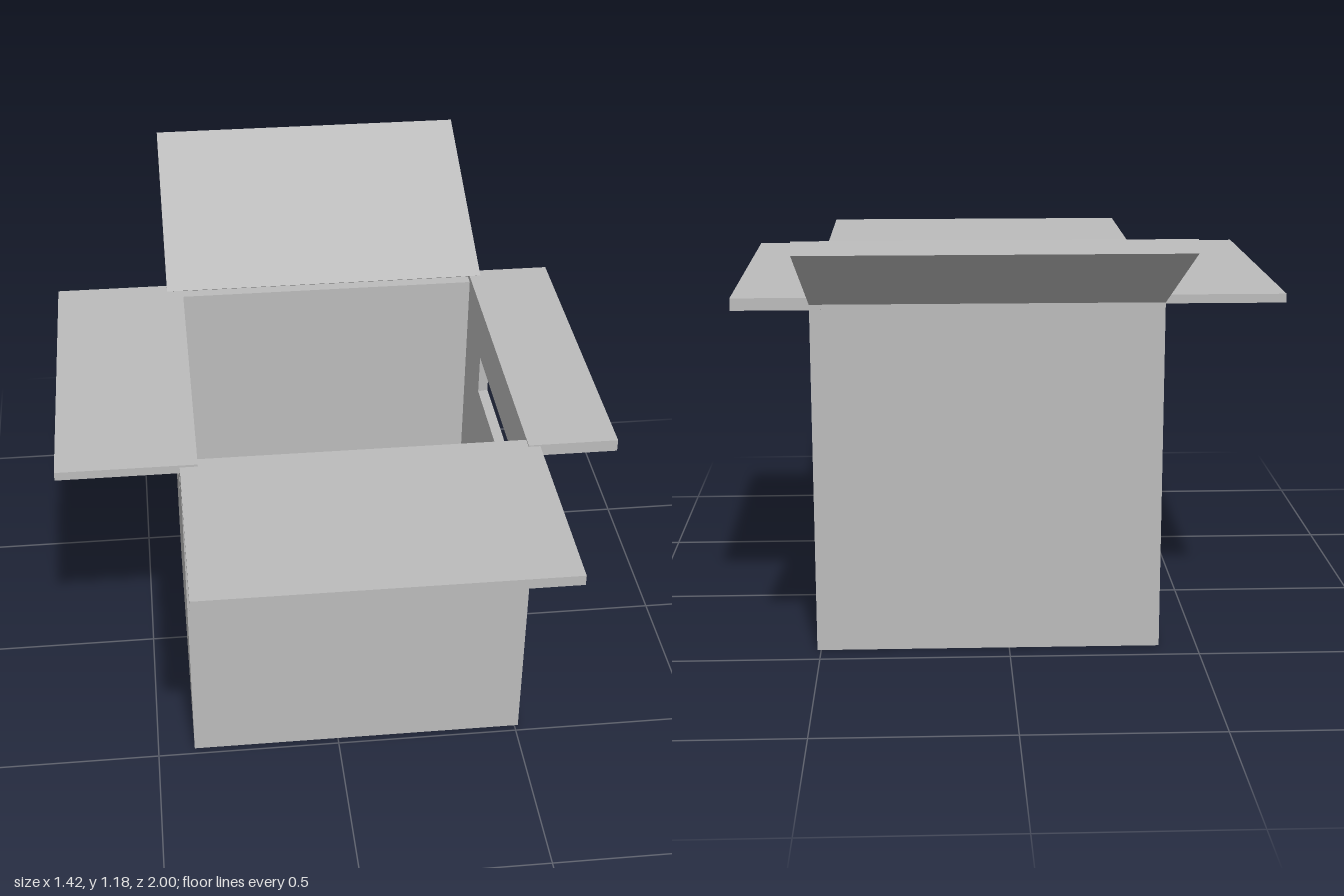
import * as THREE from 'three';

export function createModel() {
  const group = new THREE.Group();
  group.name = 'openBox';
  const cardboard = new THREE.MeshStandardMaterial({ color: 0xbcbcbc });
  cardboard.name = 'grey cardboard';

  const add = (name, geometry) => {
    const mesh = new THREE.Mesh(geometry, cardboard);
    mesh.name = name;
    group.add(mesh);
    return mesh;
  };

  // Axis-aligned panel given by its limits
  const panel = (name, x0, x1, y0, y1, z0, z1) =>
    add(name, new THREE.BoxGeometry(x1 - x0, y1 - y0, z1 - z0)
      .translate((x0 + x1) / 2, (y0 + y1) / 2, (z0 + z1) / 2));

  // Rectangle path; u runs towards the back (u = -z), v is height
  const rect = (path, u0, u1, v0, v1) => {
    path.moveTo(u0, v0);
    path.lineTo(u1, v0);
    path.lineTo(u1, v1);
    path.lineTo(u0, v1);
    path.closePath();
    return path;
  };

  // Side wall with a hand hole; taper narrows the hole towards the inside
  const sideWall = (name, x0, x1, hole, taper) => {
    const shape = rect(new THREE.Shape(), -0.44, 0.4, 0, 0.925);
    shape.holes.push(rect(new THREE.Path(), ...hole));
    const geometry = new THREE.ExtrudeGeometry(shape, { depth: x1 - x0, bevelEnabled: false });
    const p = geometry.attributes.position;
    for (let i = 0; i < p.count; i++) {
      const inHole = Math.abs(p.getX(i)) < 0.3;
      if (inHole && p.getZ(i) < 0.001) {
        p.setX(i, p.getX(i) - Math.sign(p.getX(i)) * taper);
        if (p.getY(i) < 0.75) p.setY(i, p.getY(i) + taper * 0.4);
      }
    }
    geometry.computeVertexNormals();
    add(name, geometry.rotateY(Math.PI / 2).translate(x0, 0, 0));
  };

  // Box body
  panel('floor', -0.355, 0.48, 0, 0.04, -0.4, 0.44);
  panel('frontWall', -0.4, 0.51, 0, 0.925, 0.44, 0.48);
  panel('backWall', -0.4, 0.51, 0, 0.935, -0.435, -0.4);
  sideWall('leftWall', 0.48, 0.51, [-0.25, 0.205, 0.685, 0.805], 0.015);
  sideWall('rightWall', -0.4, -0.355, [-0.235, 0.19, 0.691, 0.805], 0);

  // Level flaps, reaching from the inner rim outwards
  panel('frontFlap', -0.4, 0.51, 0.92, 0.947, 0.44, 1);
  panel('leftFlap', 0.48, 0.71, 0.919, 0.951, -0.437, 0.472);
  panel('rightFlap', -0.71, -0.355, 0.93, 0.953, -0.437, 0.472);

  // Raised back flap, a tilted slab drawn in side profile
  const profile = new THREE.Shape([
    [0.398, 0.956], [0.437, 0.933], [0.999, 1.149], [0.987, 1.18],
  ].map(([u, v]) => new THREE.Vector2(u, v)));
  add('backFlap', new THREE.ExtrudeGeometry(profile, { depth: 0.91, bevelEnabled: false })
    .rotateY(Math.PI / 2).translate(-0.4, 0, 0));

  return group;
}
